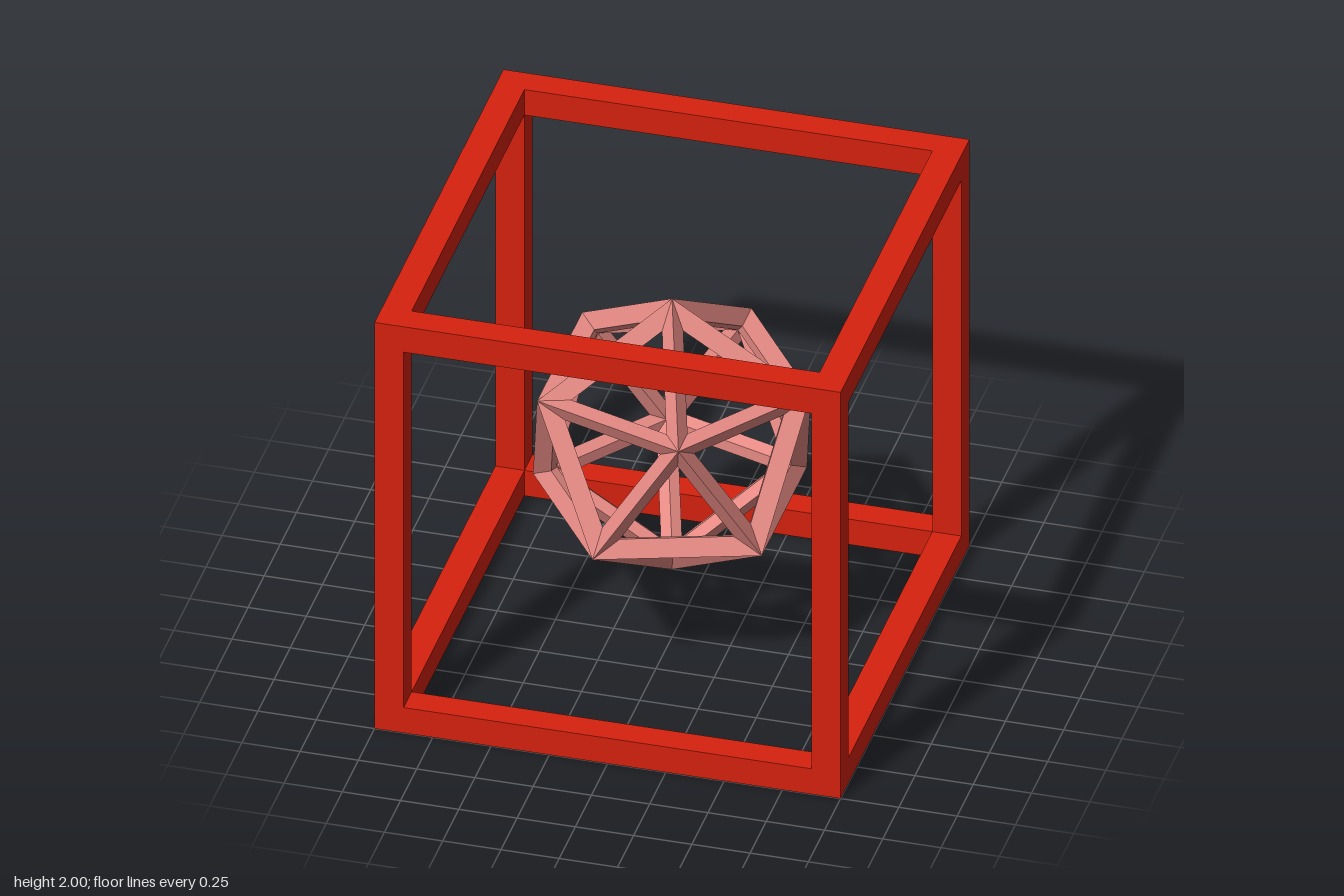
import * as THREE from 'three';

// Hollow frame of a polyhedron: every face gets an opening cut square to it.
// A face is the ring of corners lying at the given height along one axis.
// k is the border width as a share of the face's inradius.
function frameGeometry(corners, axes, height, k) {
  const pos = [];
  const quad = (a, b, c, d) => [a, b, c, a, c, d].forEach((p) => pos.push(p.x, p.y, p.z));
  for (const axis of axes) {
    const centre = axis.clone().multiplyScalar(height);
    const ring = corners.filter((c) => Math.abs(c.dot(axis) - height) < 1e-4);
    const u = ring[0].clone().sub(centre).normalize();
    const v = axis.clone().cross(u);
    const angle = (c) => Math.atan2(c.dot(v), c.dot(u));
    ring.sort((a, b) => angle(a) - angle(b));
    const border = ring.map((c) => c.clone().lerp(centre, k));
    const inner = ring.map((c) => c.clone().multiplyScalar(1 - k));
    ring.forEach((c, i) => {
      const j = (i + 1) % ring.length;
      quad(c, ring[j], border[j], border[i]); // flat border of the face
      quad(border[i], border[j], inner[j], inner[i]); // wall of the opening
    });
  }
  const geometry = new THREE.BufferGeometry();
  geometry.setAttribute('position', new THREE.Float32BufferAttribute(pos, 3));
  geometry.computeVertexNormals();
  return geometry;
}

function frameMesh(name, geometry, color) {
  const material = new THREE.MeshStandardMaterial({ color, flatShading: true });
  const mesh = new THREE.Mesh(geometry, material);
  mesh.name = name;
  mesh.position.y = 1;
  return mesh;
}

export function createModel() {
  const group = new THREE.Group();
  group.name = 'nestedFrames';

  // Outer cube frame
  const cubeCorners = [];
  for (const x of [-1, 1]) for (const y of [-1, 1]) for (const z of [-1, 1]) {
    cubeCorners.push(new THREE.Vector3(x, y, z));
  }
  const cubeAxes = [];
  for (const s of [-1, 1]) for (let i = 0; i < 3; i++) {
    cubeAxes.push(new THREE.Vector3().setComponent(i, s));
  }
  group.add(frameMesh('cubeFrame', frameGeometry(cubeCorners, cubeAxes, 1, 0.125), 0xd6210e));

  // Inner frame: twelve interlocking pentagons sharing the icosahedron's edges
  const R = 2 / 3;
  const h = 1 / Math.sqrt(5);
  const axes = [new THREE.Vector3(0, 1, 0), new THREE.Vector3(0, -1, 0)];
  for (let i = 0; i < 10; i++) {
    const a = (i * Math.PI) / 5;
    axes.push(new THREE.Vector3(2 * h * Math.cos(a), i % 2 ? -h : h, 2 * h * Math.sin(a)));
  }
  const corners = axes.map((a) => a.clone().multiplyScalar(R));
  group.add(frameMesh('pentagonFrame', frameGeometry(corners, axes, R * h, 0.173), 0xe68a84));

  return group;
}
